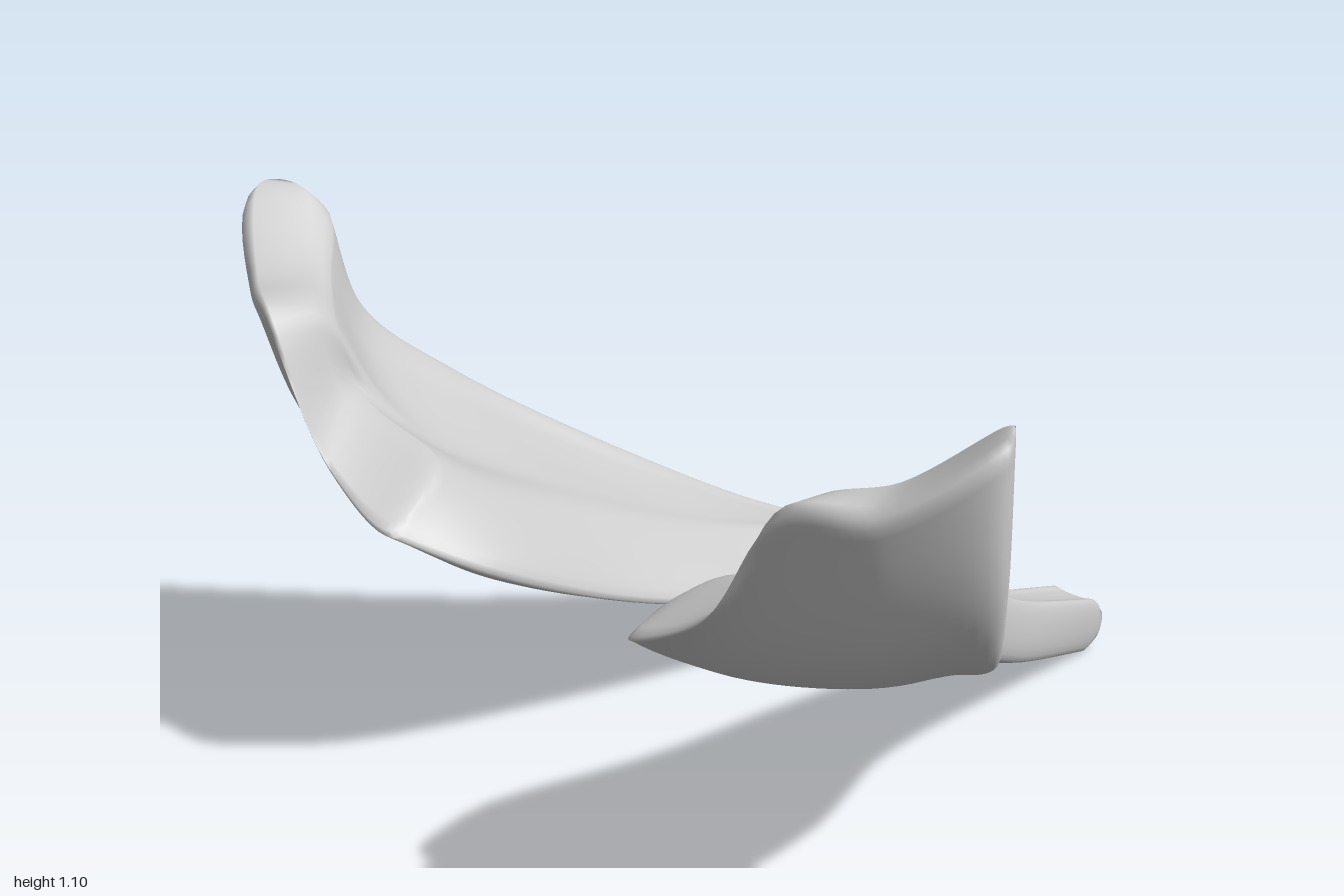
import * as THREE from 'three';

// Guide rails of one half, running from the slim tip to the broad rear end
const rails = {
  crease: [[.725, .14, .21], [.42, .245, .24], [.1, .345, .275], [-.2, .475, .315], [-.44, .6, .345], [-.58, .69, .37]],
  innerRidge: [[.765, .115, .295], [.42, .26, .357], [.1, .455, .495], [-.2, .68, .73], [-.345, .84, .85], [-.395, 1.085, .89]],
  outerRidge: [[.735, .005, .29], [.42, .125, .362], [.1, .305, .508], [-.2, .495, .75], [-.455, .785, .95], [-.505, 1.12, .99]],
  innerRim: [[.69, .03, .135], [.42, .122, .135], [.1, .218, .14], [-.2, .315, .172], [-.58, .505, .212], [-.76, .62, .33]],
};
// The rear two stations of the floor and belly, where the stepped end rises
const rearFloor = [
  [[-.43, .64, .52], [-.575, .79, .615]],
  [[-.45, .71, .62], [-.59, .945, .655]],
  [[-.42, .77, .72], [-.5, .985, .765]],
];
const rearBelly = [
  [[-.52, .63, .79], [-.655, .995, .835]],
  [[-.55, .54, .57], [-.745, .985, .685]],
  [[-.57, .49, .37], [-.762, .72, .51]],
];

const vec = (p) => new THREE.Vector3(...p);
const curve = (points) => new THREE.CatmullRomCurve3(points);

// Three rails between two edge rails, sagging in proportion to the width
function between(from, to, rear, sag) {
  return rear.map((end, k) => {
    const t = (k + 1) / 4;
    const front = from.slice(0, 4).map((p, s) => {
      const a = vec(p), b = vec(to[s]);
      const drop = sag * a.distanceTo(b) * Math.sin(Math.PI * t);
      a.lerp(b, t).y -= drop;
      return a;
    });
    return curve([...front, ...end.map(vec)]);
  });
}

const { crease, innerRidge, outerRidge, innerRim } = rails;
const ringRails = [
  curve(crease.map(vec)),
  ...between(crease, innerRidge, rearFloor, .04),
  curve(innerRidge.map(vec)),
  curve(outerRidge.map(vec)),
  ...between(outerRidge, innerRim, rearBelly, .07),
  curve(innerRim.map(vec)),
];

const PER = 8;                      // samples between neighbouring rails
const RING = PER * ringRails.length;
const STEPS = 90;
const END_INSET = [.18, .06];       // rounding of the outermost rings
const partner = (i) => (PER * 9 - i + RING) % RING; // point facing i across the thickness

function loftHalf(side) {
  const positions = [], index = [];
  const tri = (a, b, c) => index.push(...(side > 0 ? [a, b, c] : [a, c, b]));

  // Rings; those at both ends are drawn in to round the edges
  for (let s = 0; s <= STEPS; s++) {
    const section = new THREE.CatmullRomCurve3(ringRails.map((r) => r.getPoint(s / STEPS)), true);
    const ring = Array.from({ length: RING }, (_, i) => section.getPoint(i / RING));
    const inset = END_INSET[Math.min(s, STEPS - s)] ?? 0;
    ring.forEach((p, i) => {
      const q = p.clone().lerp(ring[partner(i)], inset);
      positions.push(q.x, q.y, q.z * side);
    });
  }

  // Skin
  for (let s = 0; s < STEPS; s++) {
    for (let i = 0; i < RING; i++) {
      const a = s * RING + i, d = s * RING + (i + 1) % RING;
      tri(a, a + RING, d + RING);
      tri(a, d + RING, d);
    }
  }

  // End caps, as strips across the thickness
  const last = STEPS * RING;
  for (let i = -PER / 2; i < PER * 4.5; i++) {
    const p = (i + RING) % RING, n = (i + 1 + RING) % RING;
    const q = partner(p), m = partner(n);
    if (p !== q) {
      tri(p, n, q);
      tri(last + p, last + q, last + n);
    }
    if (n !== m) {
      tri(n, m, q);
      tri(last + n, last + q, last + m);
    }
  }

  const geometry = new THREE.BufferGeometry();
  geometry.setAttribute('position', new THREE.Float32BufferAttribute(positions, 3));
  geometry.setIndex(index);
  geometry.computeVertexNormals();
  return geometry;
}

export function createModel() {
  const group = new THREE.Group();
  group.name = 'pairedBlades';
  const material = new THREE.MeshStandardMaterial({ color: 0xcccccc });
  for (const [name, side] of [['frontBlade', 1], ['backBlade', -1]]) {
    const mesh = new THREE.Mesh(loftHalf(side), material);
    mesh.name = name;
    group.add(mesh);
  }
  return group;
}
